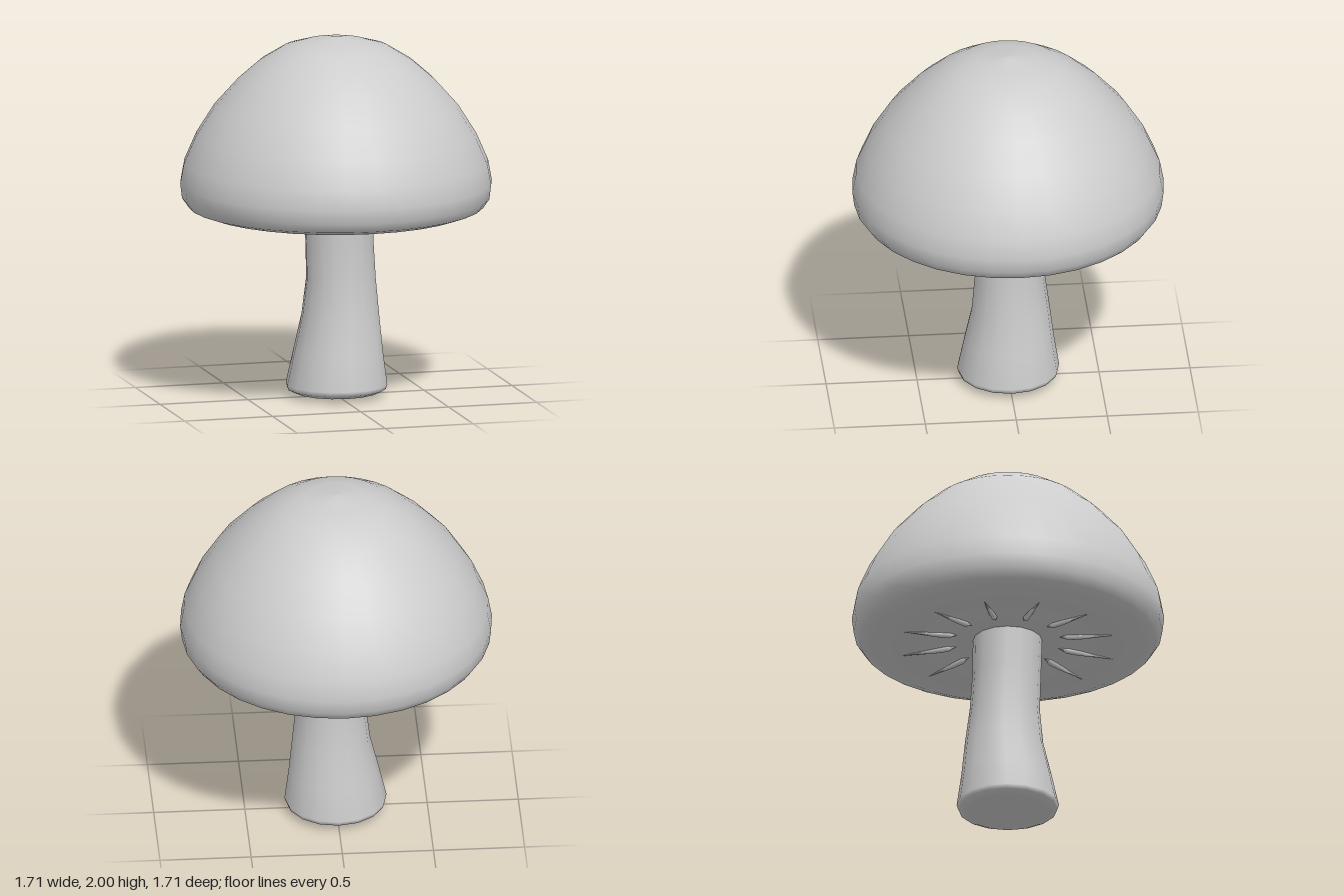
import * as THREE from 'three';

const lathe = (points, sides) =>
  new THREE.LatheGeometry(points.map(([r, y]) => new THREE.Vector2(r, y)), sides);

export function createModel() {
  const model = new THREE.Group();
  model.name = 'mushroom';
  const grey = new THREE.MeshStandardMaterial({ color: 0xcccccc });
  grey.name = 'plain grey';

  const add = (name, geometry, parent = model) => {
    const mesh = new THREE.Mesh(geometry, grey);
    mesh.name = name;
    parent.add(mesh);
    return mesh;
  };

  // Domed cap with a rolled rim and a slightly hollow underside
  add('cap', lathe([
    [0, 1.065], [0.2, 1.06], [0.45, 1.04], [0.62, 1.03], [0.74, 1.035], [0.81, 1.06],
    [0.845, 1.11], [0.855, 1.19], [0.835, 1.3], [0.77, 1.45], [0.67, 1.61],
    [0.54, 1.755], [0.42, 1.86], [0.29, 1.94], [0.17, 1.975], [0, 2],
  ], 32));

  // Stem rings: radius, height, x shift, z shift
  const rings = [
    [0, 0, 0, 0], [0.14, 0.008, 0, 0], [0.23, 0.02, 0.002, 0], [0.272, 0.04, 0.003, 0],
    [0.28, 0.065, 0.003, 0], [0.247, 0.25, 0.013, -0.004], [0.214, 0.45, 0.028, -0.012],
    [0.192, 0.65, 0.03, -0.007], [0.188, 0.85, 0.02, 0], [0.19, 1.08, 0.01, 0.002],
  ];
  const stem = lathe(rings, 16);
  const pos = stem.attributes.position;
  for (let i = 0; i < pos.count; i++) {
    const [, , dx, dz] = rings[i % rings.length];
    pos.setXYZ(i, pos.getX(i) + dx, pos.getY(i), pos.getZ(i) + dz);
  }
  add('stem', stem);

  // Tapered gills radiating under the cap
  const gills = new THREE.Group();
  gills.name = 'gills';
  model.add(gills);
  const gillShape = lathe([[0, 0], [0.018, 0.05], [0.016, 0.12], [0, 0.31]], 6);
  gillShape.rotateZ(-Math.PI / 2 - 0.07);
  gillShape.translate(0.29, 1.047, 0);
  for (let i = 0; i < 12; i++) {
    add('gill', gillShape, gills).rotation.y = -THREE.MathUtils.degToRad(5 + i * 30);
  }

  return model;
}
